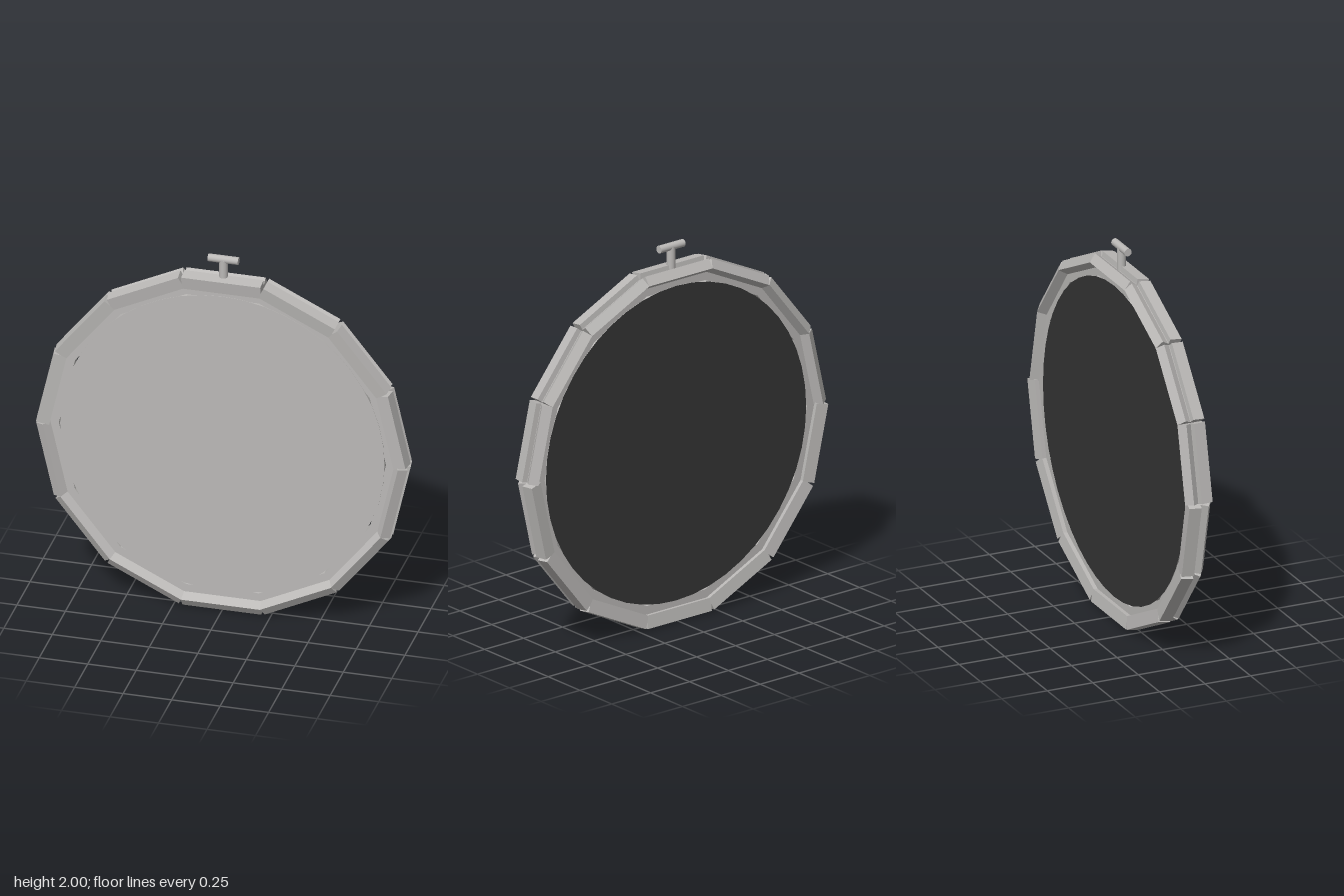
import * as THREE from 'three';

const SEGMENTS = 14;
const CENTRE_Y = 0.945;
const LENGTH = 0.408;

export function createModel() {
  const steel = new THREE.MeshStandardMaterial({ color: 0xbbb9b7 });
  steel.name = 'steelGrey';
  const dark = new THREE.MeshStandardMaterial({ color: 0x353535 });
  dark.name = 'darkGrey';

  const model = new THREE.Group();
  model.name = 'segmentedRing';

  function add(parent, name, geometry, material, x, y, z) {
    const mesh = new THREE.Mesh(geometry, material);
    mesh.name = name;
    mesh.position.set(x, y, z);
    parent.add(mesh);
    return mesh;
  }

  // straight bars of one ring segment, tilted about their length
  const bars = [
    { name: 'frontBar', h: 0.068, d: 0.064, y: 0.902, z: 0.027, tilt: 9 },
    { name: 'backBar', h: 0.053, d: 0.077, y: 0.8915, z: -0.0235, tilt: 35 },
    { name: 'innerBar', h: 0.09, d: 0.06, y: 0.867, z: 0, tilt: 0 },
  ].map((b) => ({ ...b, geometry: new THREE.BoxGeometry(LENGTH, b.h, b.d) }));

  // upper half of the ring, then the same half turned over for the lower one
  for (const [name, turn] of [['upperRing', 0], ['lowerRing', Math.PI]]) {
    const half = new THREE.Group();
    half.name = name;
    half.position.y = CENTRE_Y;
    half.rotation.x = turn;
    for (let k = -3; k <= 3; k++) {
      const segment = new THREE.Group();
      segment.name = 'ringSegment';
      segment.rotation.z = (k * 2 * Math.PI) / SEGMENTS;
      for (const b of bars) {
        const mesh = add(segment, b.name, b.geometry, steel, 0, b.y, b.z);
        mesh.rotation.x = THREE.MathUtils.degToRad(b.tilt);
      }
      half.add(segment);
    }
    model.add(half);
  }

  // thick round panel, pale in front and dark behind
  const disc = new THREE.CylinderGeometry(0.836, 0.836, 0.064, 48);
  add(model, 'panel', disc, [steel, steel, dark], 0, CENTRE_Y, 0).rotation.x = Math.PI / 2;

  // T-shaped handle on top
  add(model, 'handleStem', new THREE.CylinderGeometry(0.022, 0.022, 0.12, 16), steel, 0, 1.92, 0.008);
  const grip = add(model, 'handleGrip', new THREE.CylinderGeometry(0.02, 0.02, 0.156, 16), steel, 0, 1.98, 0.008);
  grip.rotation.z = Math.PI / 2;

  return model;
}
